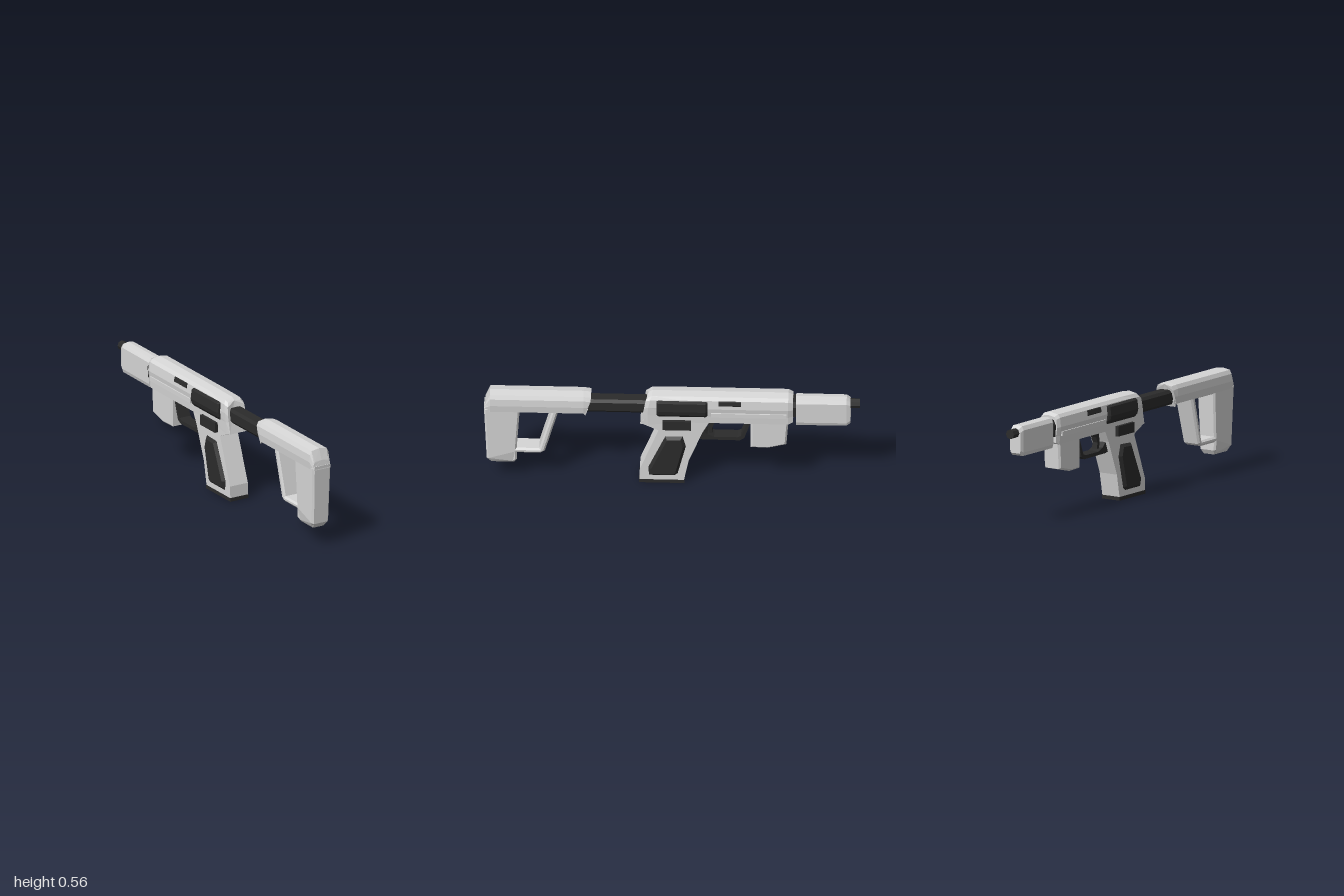
import * as THREE from 'three';

const light = new THREE.MeshStandardMaterial({ color: 0xd6d6d6, flatShading: true });
light.name = 'lightGrey';
const dark = new THREE.MeshStandardMaterial({ color: 0x2b2b2b, flatShading: true });
dark.name = 'nearBlack';

export function createModel() {
  const model = new THREE.Group();
  model.name = 'blaster';

  const add = (name, geometry, material) => {
    const mesh = new THREE.Mesh(geometry, material);
    mesh.name = name;
    model.add(mesh);
    return mesh;
  };

  // Loft of mirrored half sections [x, y, z], top to bottom, rings running from +z to -z
  const loft = (name, halves, material) => {
    const rings = halves.map(h => [
      ...h, ...h.filter(p => p[0] > 0).reverse().map(([x, y, z]) => [-x, y, z])]);
    const n = rings[0].length, last = rings.length - 1, out = [];
    const tri = (...pts) => pts.forEach(p => out.push(...p));
    for (let i = 0; i < last; i++) {
      for (let j = 0; j < n; j++) {
        const k = (j + 1) % n, a = rings[i], b = rings[i + 1];
        tri(a[j], a[k], b[k]);
        tri(a[j], b[k], b[j]);
      }
    }
    for (let j = 1; j < n - 1; j++) {
      tri(rings[0][0], rings[0][j + 1], rings[0][j]);
      tri(rings[last][0], rings[last][j], rings[last][j + 1]);
    }
    const g = new THREE.BufferGeometry();
    g.setAttribute('position', new THREE.Float32BufferAttribute(out, 3));
    g.computeVertexNormals();
    return add(name, g, material);
  };
  // One ring at depth z, optionally narrowed and with its top and bottom pulled in
  const ring = (half, z, sx = 1, sy = 1, cy = 0.48) =>
    half.map(([x, y]) => [x * sx, cy + (y - cy) * sy, z]);

  // Side outline [z, y] extruded across x, centred
  const slab = (name, pts, halfWidth, material, bevel = 0, hole = null) => {
    const path = list => list.map(([z, y]) => new THREE.Vector2(z, y));
    const shape = new THREE.Shape(path(pts));
    if (hole) shape.holes.push(new THREE.Path(path(hole)));
    const depth = 2 * (halfWidth - bevel);
    const g = new THREE.ExtrudeGeometry(shape, {
      depth, bevelEnabled: bevel > 0, bevelSize: bevel, bevelThickness: bevel,
      bevelOffset: -bevel, bevelSegments: 1, steps: 1 });
    g.translate(0, 0, -depth / 2).rotateY(-Math.PI / 2);
    return add(name, g, material);
  };

  // Receiver with slanted rear and chamfered nose
  const body = [[0, 0.565], [0.045, 0.557], [0.059, 0.54], [0.065, 0.49], [0.058, 0.44], [0.056, 0.395]];
  loft('receiver', [
    [[0, 0.55, 0.125], [0.04, 0.544, 0.125], [0.052, 0.525, 0.14], [0.056, 0.48, 0.148], [0.054, 0.44, 0.155], [0.054, 0.38, 0.168]],
    [[0, 0.563, 0.105], [0.045, 0.555, 0.105], [0.058, 0.535, 0.115], [0.061, 0.49, 0.125], [0.058, 0.44, 0.13], [0.056, 0.375, 0.13]],
    ring(body, -0.05), ring(body, -0.62), ring(body, -0.645, 0.88, 0.86),
  ], light);
  for (const s of [1, -1]) {
    const rail = add('sideRail', new THREE.BoxGeometry(0.012, 0.025, 0.4), light);
    rail.position.set(s * 0.062, 0.452, -0.41);
  }

  // Dark side panels, ejection port and lower block
  const panel = [[0.05, 0.54], [0.077, 0.528], [0.083, 0.48], [0.077, 0.455], [0.06, 0.435]];
  loft('sidePanels', [ring(panel, 0.08, 0.88), ring(panel, 0.07), ring(panel, -0.18), ring(panel, -0.19, 0.88)], dark);
  const port = [[0.045, 0.548], [0.064, 0.537], [0.069, 0.515], [0.06, 0.507]];
  loft('ejectionPort', [ring(port, -0.25), ring(port, -0.37)], dark);
  const block = add('lowerBlock', new THREE.BoxGeometry(0.15, 0.055, 0.15), dark);
  block.position.set(0, 0.383, -0.027);

  // Grip, base plate and raised grip panels
  slab('grip', [[0.165, 0.385], [0.07, 0.34], [0.17, 0.085], [0.172, 0.018], [-0.065, 0.018],
    [-0.09, 0.145], [-0.165, 0.335], [-0.2, 0.4], [0.14, 0.42]], 0.056, light);
  slab('gripBase', [[0.174, 0.02], [0.174, 0], [-0.067, 0], [-0.067, 0.02]], 0.057, dark);
  slab('gripPanels', [[0.035, 0.3], [-0.058, 0.305], [-0.075, 0.24], [-0.032, 0.065],
    [-0.015, 0.05], [0.12, 0.05], [0.125, 0.1]], 0.072, dark, 0.015);

  // Trigger guard and trigger
  slab('triggerGuard', [[-0.11, 0.3], [-0.12, 0.285], [-0.16, 0.272], [-0.36, 0.27], [-0.385, 0.285],
    [-0.425, 0.405], [-0.15, 0.405]], 0.034, dark, 0,
  [[-0.17, 0.392], [-0.405, 0.392], [-0.368, 0.298], [-0.35, 0.29], [-0.225, 0.29], [-0.19, 0.305], [-0.155, 0.34]]);
  slab('trigger', [[-0.2, 0.4], [-0.25, 0.4], [-0.225, 0.365], [-0.213, 0.335], [-0.218, 0.3],
    [-0.2, 0.302], [-0.192, 0.335], [-0.198, 0.37]], 0.016, dark);

  // Block ahead of the trigger
  slab('foreBlock', [[-0.42, 0.42], [-0.42, 0.235], [-0.51, 0.232], [-0.61, 0.258], [-0.622, 0.42]],
    0.053, light, 0.01);

  // Barrel shroud, collar and muzzle
  const shroud = [[0, 0.545], [0.03, 0.541], [0.043, 0.52], [0.043, 0.4], [0.036, 0.38]];
  loft('barrelShroud', [ring(shroud, -0.66), ring(shroud, -0.93, 0.94), ring(shroud, -0.95, 0.8, 0.82, 0.465)], light);
  const collar = [[0, 0.535], [0.035, 0.53], [0.05, 0.5], [0.046, 0.44]];
  loft('barrelCollar', [ring(collar, -0.6), ring(collar, -0.662)], dark);
  const muzzle = add('muzzle', new THREE.CylinderGeometry(0.026, 0.026, 0.08, 8).rotateX(Math.PI / 2), dark);
  muzzle.position.set(0, 0.505, -0.96);

  // Stock tube
  const tube = [[0.028, 0.515], [0.04, 0.5], [0.04, 0.45], [0.028, 0.435]];
  loft('stockTube', [ring(tube, 0.5), ring(tube, 0.1)], dark);

  // Stock: top beam, shoulder frame with opening, front hook
  const beam = [[0, 0.549], [0.047, 0.541], [0.058, 0.52], [0.061, 0.48], [0.057, 0.44]];
  loft('stockBeam', [
    [[0, 0.49, 0.992], [0.042, 0.485, 0.992], [0.05, 0.475, 0.994], [0.052, 0.46, 0.996], [0.052, 0.44, 1]],
    ring(beam, 0.968), ring(beam, 0.47),
    [[0, 0.545, 0.43], [0.044, 0.537, 0.43], [0.055, 0.515, 0.433], [0.057, 0.48, 0.445], [0.054, 0.44, 0.46]],
  ], light);
  slab('stockHook', [[0.5, 0.45], [0.475, 0.44], [0.46, 0.422], [0.447, 0.46]], 0.05, light);
  const frame = slab('stockFrame', [[1, 0.46], [0.985, 0.13], [0.96, 0.1], [0.84, 0.1], [0.825, 0.125], [0.825, 0.17],
    [0.7, 0.17], [0.675, 0.185], [0.605, 0.44], [0.605, 0.46]], 0.057, light, 0.01,
  [[0.81, 0.435], [0.64, 0.435], [0.705, 0.2], [0.825, 0.2]]);
  // Taper the frame towards its foot
  const p = frame.geometry.attributes.position;
  for (let i = 0; i < p.count; i++) {
    const y = p.getY(i);
    p.setX(i, p.getX(i) * (y < 0.115 ? 0.7 : 0.9 + 0.1 * (y - 0.1) / 0.36));
  }
  frame.geometry.computeVertexNormals();

  return model;
}
